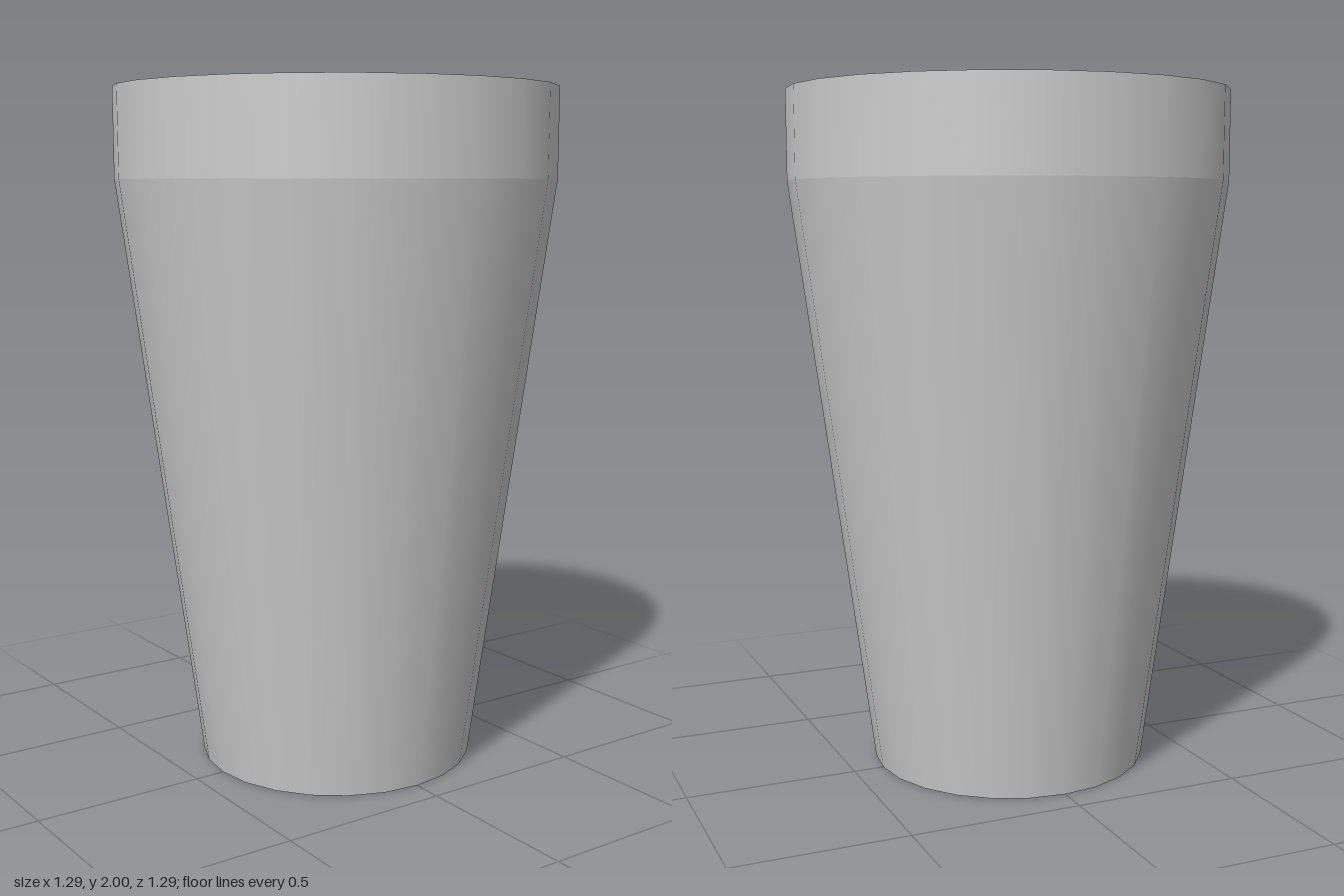
import * as THREE from 'three';

const SIDES = 24;

export function createModel() {
  const cup = new THREE.Group();
  cup.name = 'cup';

  const grey = new THREE.MeshStandardMaterial({ color: 0xcccccc });
  grey.name = 'cup grey';
  const teal = new THREE.MeshStandardMaterial({ color: 0x418ea0 });
  teal.name = 'drink teal';

  // Each band is a two-point lathe, so edges between bands stay sharp
  const addBand = (name, from, to, material = grey) => {
    const points = [new THREE.Vector2(...from), new THREE.Vector2(...to)];
    const mesh = new THREE.Mesh(new THREE.LatheGeometry(points, SIDES), material);
    mesh.name = name;
    cup.add(mesh);
  };

  // Underside with its shallow recess
  addBand('recessedBase', [0, 0.04], [0.37, 0.04]);
  addBand('recessWall', [0.37, 0.04], [0.37, 0]);
  addBand('footRing', [0.37, 0], [0.41, 0]);

  // Outside
  addBand('taperedBody', [0.41, 0], [0.645, 1.74]);
  addBand('rimBand', [0.645, 1.74], [0.645, 2]);
  addBand('lip', [0.645, 2], [0.605, 2]);

  // Inside
  addBand('innerRim', [0.605, 2], [0.605, 1.65]);
  addBand('innerWall', [0.605, 1.65], [0.375, 0.08]);
  addBand('innerFloor', [0.375, 0.08], [0, 0.08]);

  // Drink surface
  addBand('drink', [0.605, 1.65], [0, 1.65], teal);

  return cup;
}
